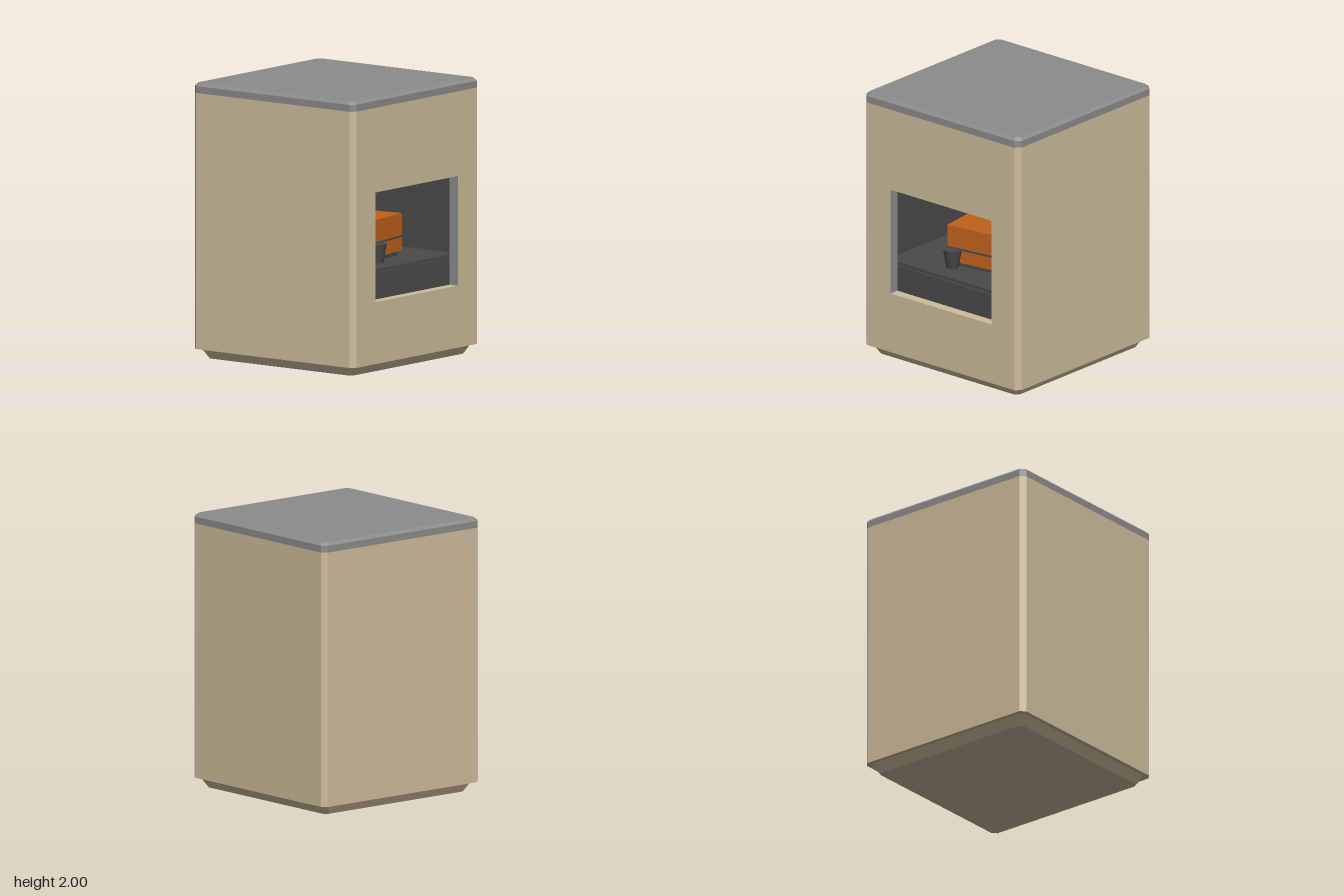
import * as THREE from 'three';

const material = (color) => new THREE.MeshStandardMaterial({ color });
const tan = material(0xcdbd9c);
const grey = material(0x8c8c8c);
const dark = material(0x4a4a4a);
const orange = material(0xc0621a);

const HALF = 0.735, CUT = 0.035;

export function createModel() {
  const group = new THREE.Group();

  function add(name, geometry, mat, x = 0, y = 0, z = 0) {
    const mesh = new THREE.Mesh(geometry, mat);
    mesh.name = name;
    mesh.position.set(x, y, z);
    group.add(mesh);
    return mesh;
  }
  // Box given by its limits on each axis
  function block(name, mat, x0, x1, y0, y1, z0, z1) {
    return add(name, new THREE.BoxGeometry(x1 - x0, y1 - y0, z1 - z0), mat,
      (x0 + x1) / 2, (y0 + y1) / 2, (z0 + z1) / 2);
  }
  // Square plan (x, z) with cut corners; extra points replace a straight front edge
  function plan(notch = []) {
    const a = HALF, b = HALF - CUT;
    const pts = [[-b, -a], [b, -a], [a, -b], [a, b], [b, a], ...notch, [-b, a], [-a, b], [-a, -b]];
    return new THREE.Shape(pts.map(([x, z]) => new THREE.Vector2(x, z)));
  }
  // Upright slab of a plan, its top or bottom ring optionally scaled in
  function slab(shape, y0, y1, topScale = 1, bottomScale = 1) {
    const g = new THREE.ExtrudeGeometry(shape, { depth: y1 - y0, bevelEnabled: false });
    g.rotateX(Math.PI / 2).translate(0, y1, 0);
    const p = g.attributes.position;
    for (let i = 0; i < p.count; i++) {
      const s = p.getY(i) > (y0 + y1) / 2 ? topScale : bottomScale;
      p.setXYZ(i, p.getX(i) * s, p.getY(i), p.getZ(i) * s);
    }
    g.computeVertexNormals();
    return g;
  }

  // Housing: plinth, lower block, hollow middle, upper block
  const notch = [[0.48, HALF], [0.48, 0.66], [0.6, 0.66], [0.6, -0.32],
    [-0.6, -0.32], [-0.6, 0.66], [-0.48, 0.66], [-0.48, HALF]];
  add('plinth', slab(plan(), 0, 0.07, 0.955, 0.9), tan);
  add('lowerHousing', slab(plan(), 0.07, 0.52), tan);
  add('middleHousing', slab(plan(notch), 0.52, 1.315), tan);
  add('upperHousing', slab(plan(), 1.315, 1.93), tan);

  // Lid with a chamfered rim
  add('lid', slab(plan(), 1.93, 1.98), grey);
  add('lidTop', slab(plan(), 1.98, 2, 0.973), grey);

  // Dark lining of the chamber
  block('chamberFloor', dark, -0.6, 0.6, 0.52, 0.71, -0.32, 0.66);
  block('floorLip', dark, -0.6, 0.6, 0.71, 0.735, -0.32, 0.645);
  block('chamberBack', dark, -0.6, 0.6, 0.735, 1.315, -0.32, -0.3);
  block('chamberCeiling', dark, -0.6, 0.6, 1.305, 1.315, -0.3, 0.66);
  for (const s of [-1, 1]) {
    block('chamberSide', dark, s * 0.59 - 0.01, s * 0.59 + 0.01, 0.735, 1.315, -0.3, 0.66);
    block('openingJamb', grey, s * 0.479 - 0.002, s * 0.479 + 0.002, 0.52, 1.315, 0.66, 0.733);
  }

  // Slightly turned orange block resting on a low foot
  const turn = 0.14;
  add('orangeBlock', new THREE.BoxGeometry(0.455, 0.27, 0.35), orange, 0.02, 0.905, 0.25).rotation.y = turn;
  add('blockFoot', new THREE.BoxGeometry(0.42, 0.04, 0.3), dark, 0.02, 0.753, 0.25).rotation.y = turn;

  // Thin band around the block and a tapered bracket in front
  add('band', new THREE.BoxGeometry(0.475, 0.012, 0.37), dark, 0.02, 0.875, 0.25).rotation.y = turn;
  add('bracket', new THREE.CylinderGeometry(0.07, 0.045, 0.14, 12), dark, -0.12, 0.805, 0.47);

  return group;
}
